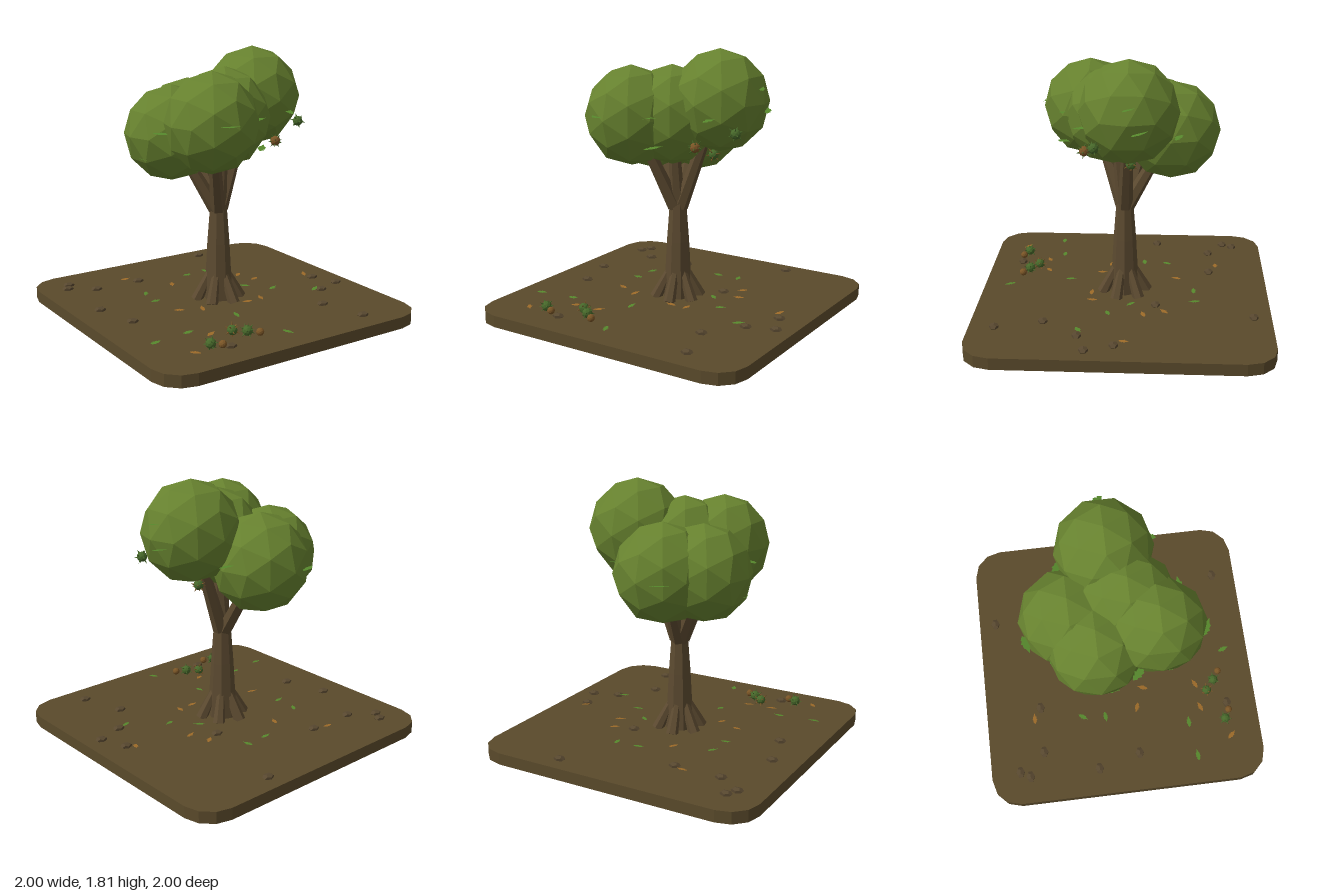
import * as THREE from 'three';

const mat = (name, color, side = THREE.FrontSide) => {
  const m = new THREE.MeshStandardMaterial({ color, flatShading: true, side });
  m.name = name;
  return m;
};

export function createModel() {
  const root = new THREE.Group();
  root.name = 'treeOnPlot';

  const soil = mat('soil brown', 0x5a4a2b);
  const bark = mat('bark brown', 0x5c4a30);
  const foliage = mat('foliage green', 0x67822f);
  const stone = mat('pebble brown', 0x57472f);
  const burrGreen = mat('burr green', 0x47682a);
  const burrBrown = mat('burr brown', 0x7a5526);
  const leafGreen = mat('leaf green', 0x56882c, THREE.DoubleSide);
  const leafOrange = mat('leaf orange', 0x9c6a28, THREE.DoubleSide);

  let seed = 7;
  const rand = () => (seed = (seed * 16807) % 2147483647) / 2147483647;

  const add = (name, geo, material, x = 0, y = 0, z = 0, parent = root) => {
    const m = new THREE.Mesh(geo, material);
    m.name = name;
    m.position.set(x, y, z);
    parent.add(m);
    return m;
  };

  // Tapered limb between two points
  const up = new THREE.Vector3(0, 1, 0);
  const limb = (name, from, to, r0, r1, material = bark, sides = 6, parent = root) => {
    const a = new THREE.Vector3(...from), b = new THREE.Vector3(...to);
    const dir = b.clone().sub(a);
    const m = add(name, new THREE.CylinderGeometry(r1, r0, dir.length(), sides), material, 0, 0, 0, parent);
    m.position.copy(a).add(b).multiplyScalar(0.5);
    m.quaternion.setFromUnitVectors(up, dir.normalize());
    return m;
  };

  // Ground slab with chamfer-like rounded corners
  const plot = new THREE.Shape();
  for (let i = 0; i < 4; i++) {
    for (let j = 0; j < 4; j++) {
      const a = i * Math.PI / 2 + j * Math.PI / 6;
      const cx = i === 0 || i === 3 ? 0.8 : -0.8, cy = i < 2 ? 0.8 : -0.8;
      const x = cx + 0.2 * Math.cos(a), y = cy + 0.2 * Math.sin(a);
      if (i + j === 0) plot.moveTo(x, y); else plot.lineTo(x, y);
    }
  }
  plot.closePath();
  const slab = new THREE.ExtrudeGeometry(plot, { depth: 0.08, bevelEnabled: false });
  slab.rotateX(-Math.PI / 2);
  add('ground', slab, soil);

  // Trunk and root flares
  const profile = [[0, 0.07], [0.1, 0.07], [0.09, 0.26], [0.078, 0.48], [0.055, 0.78], [0, 0.8]];
  add('trunk', new THREE.LatheGeometry(profile.map(p => new THREE.Vector2(...p)), 8), bark);
  for (let i = 0; i < 6; i++) {
    const a = (20 + i * 60) * Math.PI / 180, c = Math.cos(a), s = Math.sin(a);
    limb('rootFlare', [c * 0.155, 0.075, s * 0.155], [c * 0.055, 0.27, s * 0.055], 0.042, 0.026);
  }

  // Canopy clumps: centre, then radii
  const clumps = [
    [-0.21, 1.365, 0.24, 0.305, 0.335, 0.32],
    [0.3, 1.47, -0.04, 0.33, 0.34, 0.325],
    [-0.27, 1.25, -0.16, 0.32, 0.325, 0.32],
    [-0.05, 1.255, -0.31, 0.32, 0.335, 0.33],
    [0, 1.365, 0.07, 0.3, 0.335, 0.325],
  ];
  const ball = new THREE.IcosahedronGeometry(1, 1);
  clumps.forEach(([x, y, z, rx, ry, rz]) => {
    add('canopyClump', ball, foliage, x, y, z).scale.set(rx, ry, rz);
    // Branch reaching into the clump
    limb('branch', [x * 0.06, 0.72, z * 0.06], [x * 0.85, y - 0.1, z * 0.85], 0.052, 0.034);
  });

  // Serrated leaf lying flat, unit length along x
  const leafShape = new THREE.Shape();
  const edge = [[-0.5, 0], [-0.3, 0.16], [-0.26, 0.11], [-0.08, 0.23], [-0.04, 0.16], [0.16, 0.18], [0.2, 0.11], [0.5, 0]];
  edge.forEach(([x, y], i) => (i ? leafShape.lineTo(x, y) : leafShape.moveTo(x, y)));
  edge.slice(1, -1).reverse().forEach(([x, y]) => leafShape.lineTo(x, -y));
  leafShape.closePath();
  const leafGeo = new THREE.ShapeGeometry(leafShape);
  leafGeo.rotateX(-Math.PI / 2);
  const leaf = (name, material, x, y, z, size, turn, tilt) => {
    const m = add(name, leafGeo, material, x, y, z);
    m.scale.setScalar(size);
    m.rotation.set(tilt, turn, tilt * 0.5);
  };

  // Fallen leaves in the open
  [[-0.385, -0.65], [0.78, -0.03, 1.1], [-0.44, 0.58, 0.4], [-0.68, 0.78, -0.8], [-0.26, 0.565, 0.5]]
    .forEach(([x, z, t = 0]) => leaf('fallenOrangeLeaf', leafOrange, x, 0.1, z, 0.08, t, 0.08));
  [[-0.8, 0.51, 0.1], [-0.545, 0.48], [-0.015, 0.82, -1.2], [0.64, 0.275, 0.5]]
    .forEach(([x, z, t = 0]) => leaf('fallenGreenLeaf', leafGreen, x, 0.1, z, 0.085, t, 0.08));
  // Fallen leaves in the shade of the canopy
  for (let i = 0; i < 14; i++) {
    const a = i * 2.4, r = 0.26 + 0.24 * rand();
    leaf('shadedLeaf', i % 2 ? leafOrange : leafGreen, Math.cos(a) * r, 0.1, Math.sin(a) * r - 0.05, 0.08, rand() * 6, 0.08);
  }
  // Loose leaves poking out of the canopy
  [[0.03, 1.39, 0.41], [0.4, 1.39, 0.25], [0.59, 1.57, -0.06], [-0.52, 1.11, -0.1], [0.27, 1.3, -0.36],
    [-0.49, 1.3, 0.09], [-0.2, 1.25, -0.6], [0.61, 1.42, -0.12], [0.07, 1.2, 0.4], [-0.27, 1.39, 0.54]]
    .forEach(([x, y, z], i) => leaf('canopyLeaf', leafGreen, x, y, z, 0.13, Math.atan2(x, z) + 0.3 * (i % 3), 0.12));

  // Pebbles
  const pebbleGeo = new THREE.DodecahedronGeometry(1);
  [[-0.77, -0.79], [-0.81, -0.72], [-0.64, -0.605], [-0.305, -0.6], [0.395, -0.88], [-0.81, -0.215], [-0.73, 0.09],
    [0.81, 0.035], [0.88, 0.22], [0.695, 0.28], [0.51, 0.52], [0.6, 0.83], [-0.43, 0.785], [0.24, -0.22]]
    .forEach(([x, z]) => add('pebble', pebbleGeo, stone, x, 0.087, z).scale.set(0.042, 0.02, 0.033));

  // Spiky seed burrs, hanging and fallen
  const burrBall = new THREE.IcosahedronGeometry(0.034, 1);
  const spikeDirs = new THREE.IcosahedronGeometry(1, 0).getAttribute('position');
  const burr = (x, y, z, body, spikes) => {
    const g = new THREE.Group();
    g.name = 'seedBurr';
    g.position.set(x, y, z);
    g.rotation.set(rand() * 3, rand() * 3, 0);
    add('burrBody', burrBall, body, 0, 0, 0, g);
    const seen = new Set();
    for (let i = 0; i < spikeDirs.count; i++) {
      const d = new THREE.Vector3().fromBufferAttribute(spikeDirs, i);
      const key = d.toArray().map(v => v.toFixed(1)).join();
      if (seen.has(key)) continue;
      seen.add(key);
      limb('burrSpike', d.clone().multiplyScalar(0.028).toArray(), d.clone().multiplyScalar(0.054).toArray(), 0.007, 0, spikes, 4, g);
    }
    root.add(g);
  };
  burr(0.29, 1.2, 0.25, burrBrown, burrGreen);
  burr(0.54, 1.3, 0.17, burrGreen, burrGreen);
  burr(0.25, 1.1, -0.05, burrGreen, burrBrown);
  burr(-0.555, 0.12, 0.75, burrGreen, burrGreen);
  burr(-0.325, 0.12, 0.645, burrGreen, burrBrown);
  burr(-0.25, 0.12, 0.705, burrGreen, burrGreen);

  // Bare nuts beside the burrs
  [[-0.49, 0.785], [-0.185, 0.75]].forEach(([x, z]) =>
    add('nut', new THREE.IcosahedronGeometry(0.026, 1), burrBrown, x, 0.112, z));

  return root;
}
